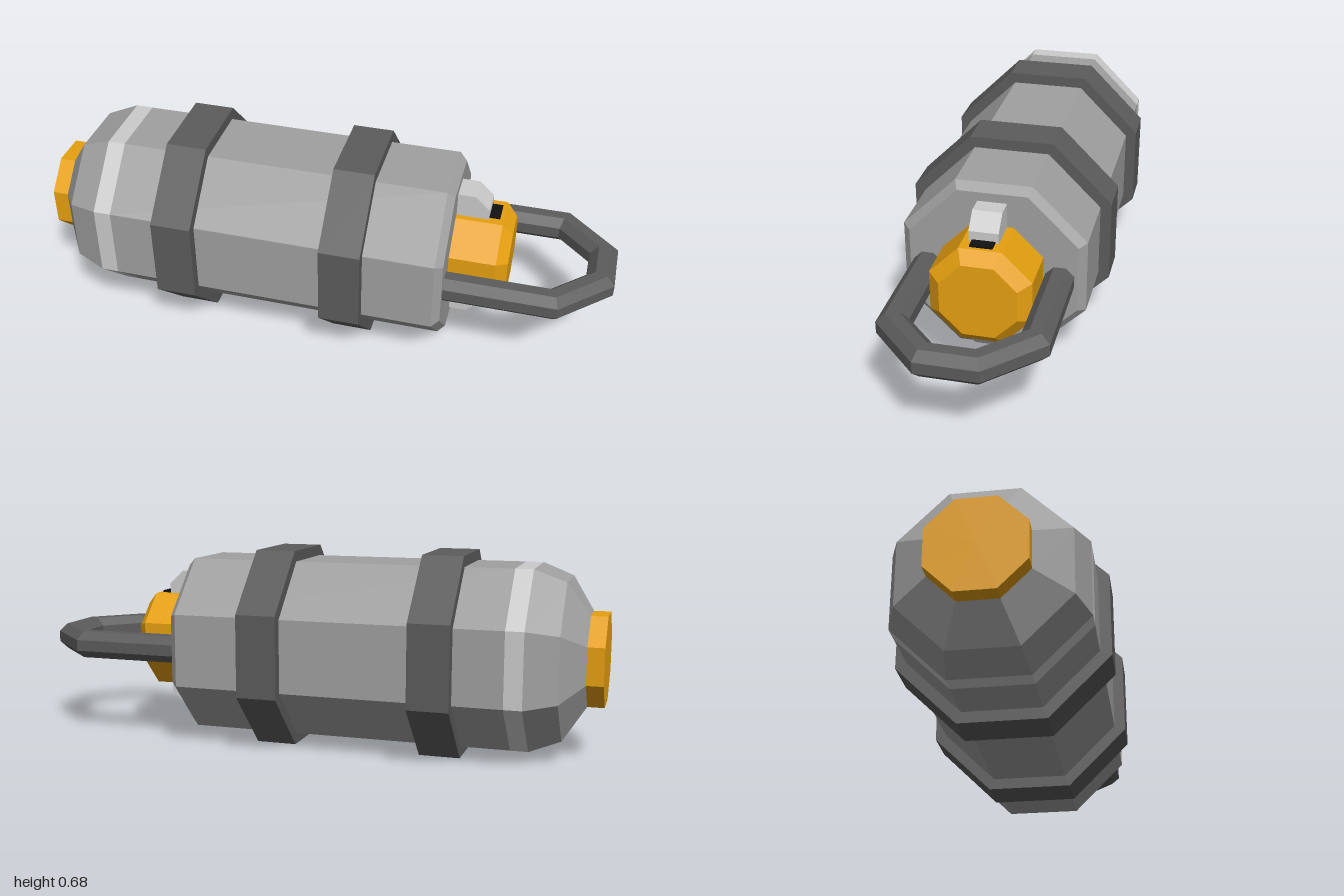
import * as THREE from 'three';

const CY = 0.34; // height of the long axis

const material = (color) => new THREE.MeshStandardMaterial({ color, flatShading: true });

// Octagonal solid along x from [x, apothem] pairs, flats facing up and sideways
function octagon(name, profile, mat) {
  const points = profile.map(([x, a]) => new THREE.Vector2(a / Math.cos(Math.PI / 8), x));
  const geometry = new THREE.LatheGeometry(points, 8, Math.PI / 8);
  geometry.rotateZ(-Math.PI / 2).translate(0, CY, 0);
  const mesh = new THREE.Mesh(geometry, mat);
  mesh.name = name;
  return mesh;
}

// Octagonal bar swept along a flat path of [x, z] points with mitred corners
function mitredBar(path, apothem, y) {
  const pts = path.map(([x, z]) => new THREE.Vector2(x, z));
  const radius = apothem / Math.cos(Math.PI / 8);
  const positions = [], indices = [];
  pts.forEach((p, i) => {
    const before = p.clone().sub(pts[Math.max(i - 1, 0)]).normalize();
    const after = pts[Math.min(i + 1, pts.length - 1)].clone().sub(p).normalize();
    if (i === 0) before.copy(after);
    if (i === pts.length - 1) after.copy(before);
    const tangent = before.clone().add(after).normalize();
    const stretch = 1 / tangent.dot(after);
    for (let k = 0; k < 8; k++) {
      const angle = (k + 0.5) * Math.PI / 4;
      const out = radius * Math.cos(angle) * stretch;
      positions.push(p.x - tangent.y * out, y + radius * Math.sin(angle), p.y + tangent.x * out);
      if (i > 0) {
        const a = (i - 1) * 8 + k, b = (i - 1) * 8 + (k + 1) % 8;
        indices.push(a, b, a + 8, b, b + 8, a + 8);
      }
    }
  });
  const geometry = new THREE.BufferGeometry();
  geometry.setAttribute('position', new THREE.Float32BufferAttribute(positions, 3));
  geometry.setIndex(indices);
  geometry.computeVertexNormals();
  return geometry;
}

export function createModel() {
  const model = new THREE.Group();
  const grey = material(0xa0a0a0);
  const light = material(0xcccccc);
  const dark = material(0x5c5c5c);
  const gold = material(0xe6a010);
  const black = material(0x111111);

  // Canister: tapered nose, pale ring, long shell with a chamfered end
  model.add(octagon('nose', [[-0.945, 0], [-0.945, 0.15], [-0.87, 0.263], [-0.765, 0.303]], grey));
  model.add(octagon('paleRing', [[-0.765, 0.303], [-0.705, 0.303]], light));
  model.add(octagon('shell', [[-0.705, 0.303], [0.425, 0.303], [0.45, 0.278], [0.45, 0]], grey));

  // Two raised bands around the shell
  for (const x of [-0.47, 0.115]) {
    model.add(octagon('band', [[x - 0.07, 0.3], [x - 0.07, 0.34], [x + 0.07, 0.34], [x + 0.07, 0.3]], dark));
  }

  // End caps
  model.add(octagon('rearCap', [[-1, 0], [-1, 0.151], [-0.943, 0.151]], gold));
  model.add(octagon('plug', [[0.445, 0.165], [0.608, 0.165], [0.645, 0.125], [0.645, 0]], gold));

  // Clip through the plug, with chamfered ends above and below
  const outline = new THREE.Shape([
    [0.44, -0.248], [0.51, -0.248], [0.56, -0.2], [0.56, 0.2], [0.51, 0.248], [0.44, 0.248],
  ].map(([x, y]) => new THREE.Vector2(x, y)));
  const clipGeometry = new THREE.ExtrudeGeometry(outline, { depth: 0.096, bevelEnabled: false });
  clipGeometry.translate(0, CY, -0.048);
  const clip = new THREE.Mesh(clipGeometry, light);
  clip.name = 'clip';
  model.add(clip);

  // Dark slot pads in front of the clip
  const pads = new THREE.Mesh(new THREE.BoxGeometry(0.055, 0.344, 0.074), black);
  pads.name = 'slotPads';
  pads.position.set(0.568, CY, 0);
  model.add(pads);

  // Pull handle
  const handlePath = [[0.44, 0.219], [0.81, 0.219], [0.952, 0.08], [0.952, -0.08], [0.81, -0.219], [0.44, -0.219]];
  const handle = new THREE.Mesh(mitredBar(handlePath, 0.047, 0.331), dark);
  handle.material = dark.clone();
  handle.material.side = THREE.DoubleSide;
  handle.name = 'handle';
  model.add(handle);

  return model;
}
